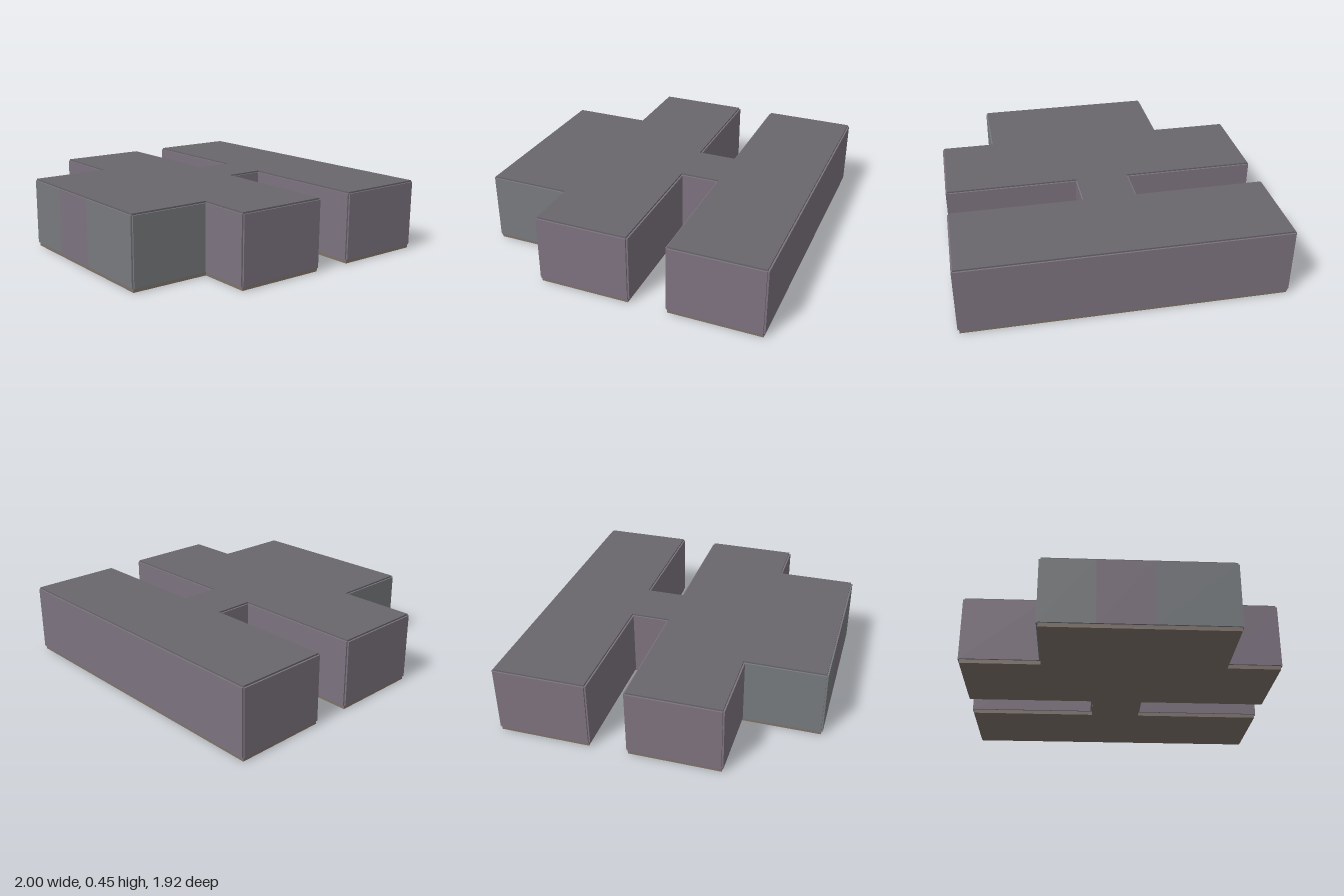
import * as THREE from 'three';

const T = 0.01;           // cladding thickness
const FLOOR = 0.025;      // height of the base slab
const WALL_TOP = 0.44;
const TOP = 0.45;

// Footprint of the core as [x, z], counterclockwise seen from above
const OUTLINE = [
  [-0.495, 0.95], [0.655, 0.95], [0.655, 0.45], [0.99, 0.45],
  [0.99, -0.125], [0.16, -0.125], [0.16, -0.375], [0.99, -0.375],
  [0.99, -0.95], [-0.99, -0.95], [-0.99, -0.375], [-0.165, -0.375],
  [-0.165, -0.125], [-0.99, -0.125], [-0.99, 0.45], [-0.495, 0.45],
];

const material = (color) => new THREE.MeshStandardMaterial({ color, flatShading: true });

// Slab with the building footprint between two heights
function slab(name, y0, y1, mat) {
  const shape = new THREE.Shape(OUTLINE.map(([x, z]) => new THREE.Vector2(x, -z)));
  const geo = new THREE.ExtrudeGeometry(shape, { depth: y1 - y0, bevelEnabled: false });
  geo.rotateX(-Math.PI / 2).translate(0, y0, 0);
  const mesh = new THREE.Mesh(geo, mat);
  mesh.name = name;
  return mesh;
}

// Thin panel standing just outside the core edge from a to b
function wallPanel(name, [ax, az], [bx, bz], mat) {
  const dx = bx - ax, dz = bz - az, length = Math.hypot(dx, dz);
  const mesh = new THREE.Mesh(new THREE.BoxGeometry(length, WALL_TOP - FLOOR, T), mat);
  mesh.position.set(
    (ax + bx) / 2 - (dz / length) * T / 2,
    (FLOOR + WALL_TOP) / 2,
    (az + bz) / 2 + (dx / length) * T / 2,
  );
  mesh.rotation.y = Math.atan2(-dz, dx);
  mesh.name = name;
  return mesh;
}

export function createModel() {
  const model = new THREE.Group();
  model.name = 'building';
  const floorMat = material(0x7d726b);
  const roofMat = material(0x69666c);
  const wallMat = material(0x7c727e);
  const frontMat = material(0x777a7d);

  model.add(slab('floorSlab', 0, FLOOR, floorMat));
  model.add(slab('roofAndCore', FLOOR, TOP, roofMat));

  // Wall cladding; the front wing has grey walls
  const walls = new THREE.Group();
  walls.name = 'walls';
  const n = OUTLINE.length;
  for (let i = 1; i < n; i++) {
    const grey = i === 1 || i === n - 1;
    walls.add(wallPanel(grey ? 'frontWingSide' : 'wall', OUTLINE[i], OUTLINE[(i + 1) % n], grey ? frontMat : wallMat));
  }

  // Front wall in three sections, the middle one in the main wall colour
  const xs = [-0.495, -0.17, 0.17, 0.655];
  for (let i = 0; i < 3; i++) {
    walls.add(wallPanel('frontWall', [xs[i], 0.95], [xs[i + 1], 0.95], i === 1 ? wallMat : frontMat));
  }
  model.add(walls);
  return model;
}
